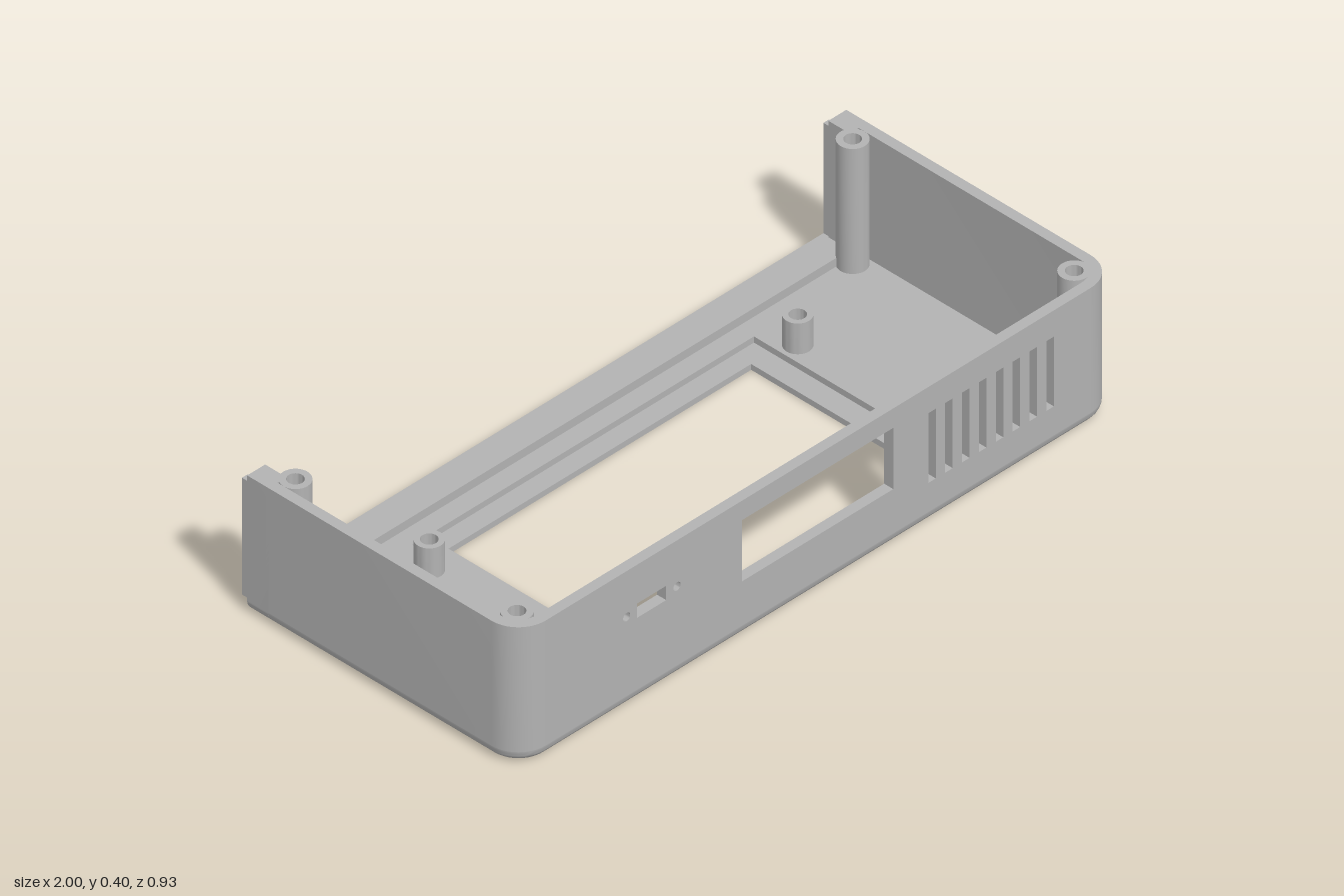
import * as THREE from 'three';
import { toCreasedNormals } from 'three/addons/utils/BufferGeometryUtils.js';

const BACK = -0.43, FRONT = 0.465, TOP = 0.402, WALL = 0.03, CORNER = 0.09, FILLET = 0.035;
const casing = new THREE.MeshStandardMaterial({ color: 0xb2b2b2 });
casing.name = 'casing grey';

function rect(x0, x1, y0, y1, Type = THREE.Path) {
  return new Type([[x0, y0], [x1, y0], [x1, y1], [x0, y1]].map(p => new THREE.Vector2(...p)));
}

function circle(x, y, r, Type = THREE.Path) {
  const c = new Type();
  c.absarc(x, y, r, 0, Math.PI * 2);
  return c;
}

// Plan outline of the left half, from the back end round the front corner (shape y = -z)
function halfOutline(inset) {
  const pts = [new THREE.Vector2(-1 + inset, -BACK)], r = CORNER - inset;
  for (let i = 0; i <= 10; i++) {
    const a = Math.PI * (1 + i / 20);
    pts.push(new THREE.Vector2(-1 + CORNER + r * Math.cos(a), -FRONT + CORNER + r * Math.sin(a)));
  }
  return pts;
}
const mirrored = pts => pts.map(p => new THREE.Vector2(-p.x, p.y));
const outline = inset => [...halfOutline(inset), ...mirrored(halfOutline(inset)).reverse()];

function extrude(shape, depth) {
  return new THREE.ExtrudeGeometry(shape, { depth, bevelEnabled: false, curveSegments: 16 });
}
// Extrusion towards +z between two depths
const alongZ = (shape, z0, z1) => extrude(shape, z1 - z0).translate(0, 0, z0);
// Extrusion of a plan shape between two heights
const upward = (shape, y0, y1) => extrude(shape, y1 - y0).rotateX(-Math.PI / 2).translate(0, y0, 0);

// Rounded lower edge swept round both sides and the front
function lowerEdge() {
  const pos = [], idx = [], steps = 8;
  let count = 0;
  for (let j = 0; j <= steps; j++) {
    const a = (j / steps) * Math.PI / 2;
    const row = outline(FILLET * (1 - Math.sin(a)));
    count = row.length;
    row.forEach(p => pos.push(p.x, FILLET * (1 - Math.cos(a)), -p.y));
  }
  for (let j = 0; j < steps; j++) for (let i = 0; i < count - 1; i++) {
    const a = j * count + i, b = a + count;
    idx.push(a, a + 1, b + 1, a, b + 1, b);
  }
  const g = new THREE.BufferGeometry();
  g.setAttribute('position', new THREE.Float32BufferAttribute(pos, 3));
  g.setIndex(idx);
  return g;
}

// Open-topped U in the xy plane: outer half width, bottom, top, inner half width, sill height
function uShape(w, bottom, top, inner, sill, r) {
  const s = new THREE.Shape();
  s.moveTo(-w, top);
  s.lineTo(-w, bottom + r);
  if (r) s.absarc(-w + r, bottom + r, r, Math.PI, Math.PI * 1.5);
  s.lineTo(w - r, bottom);
  if (r) s.absarc(w - r, bottom + r, r, -Math.PI / 2, 0);
  s.lineTo(w, top);
  s.lineTo(inner, top);
  s.lineTo(inner, sill);
  s.lineTo(-inner, sill);
  s.lineTo(-inner, top);
  return s;
}

export function createModel() {
  const group = new THREE.Group();
  const add = (name, geometry) => {
    const mesh = new THREE.Mesh(toCreasedNormals(geometry, Math.PI / 6), casing);
    mesh.name = name;
    group.add(mesh);
  };

  // Floor in two layers, giving a stepped recess round the display opening
  const lower = new THREE.Shape(outline(FILLET));
  lower.holes.push(rect(-0.508, 0.502, -0.356, 0.252));
  add('floorLower', upward(lower, 0, 0.017));
  const upper = new THREE.Shape(outline(0.01));
  upper.holes.push(rect(-0.574, 0.566, -0.41, 0.306));
  add('floorUpper', upward(upper, 0.017, FILLET));
  add('roundedLowerEdge', lowerEdge());

  // Side walls, each including its rounded front corner
  const side = [...halfOutline(0), ...halfOutline(WALL).reverse()];
  add('rightWall', upward(new THREE.Shape(side), FILLET, TOP));
  add('leftWall', upward(new THREE.Shape(mirrored(side)), FILLET, TOP));

  // Front wall with window, port, screw holes and vent slots
  const front = rect(-1 + CORNER, 1 - CORNER, FILLET, TOP, THREE.Shape);
  front.holes.push(rect(-0.255, 0.25, 0.165, 0.345), rect(-0.605, -0.508, 0.246, 0.288));
  for (const x of [-0.64, -0.472]) front.holes.push(circle(x, 0.267, 0.012));
  for (let i = 0; i < 8; i++) {
    const x = 0.367 + i * 0.0563;
    front.holes.push(rect(x, x + 0.025, 0.12, 0.325));
  }
  add('frontWall', alongZ(front, FRONT - WALL, FRONT));

  // Thickened back frame and the thin tongue behind it
  add('backFrame', alongZ(uShape(1, 0, TOP, 0.94, 0.06, FILLET), BACK, -0.36));
  add('backTongue', alongZ(uShape(0.98, 0.022, 0.365, 0.961, 0.041, 0), -0.467, BACK));

  // Hollow corner posts and short board standoffs
  const tube = (name, x, z, r, bore, top) => {
    const ring = circle(x, -z, r, THREE.Shape);
    ring.holes.push(circle(x, -z, bore));
    add(name, upward(ring, 0.02, top));
  };
  for (const s of [-1, 1]) {
    for (const z of [-0.34, 0.39]) tube('cornerPost', s * 0.93, z, 0.04, 0.022, TOP);
    for (const z of [-0.21, 0.315]) tube('standoff', s * 0.615, z, 0.037, 0.022, 0.125);
  }
  return group;
}
